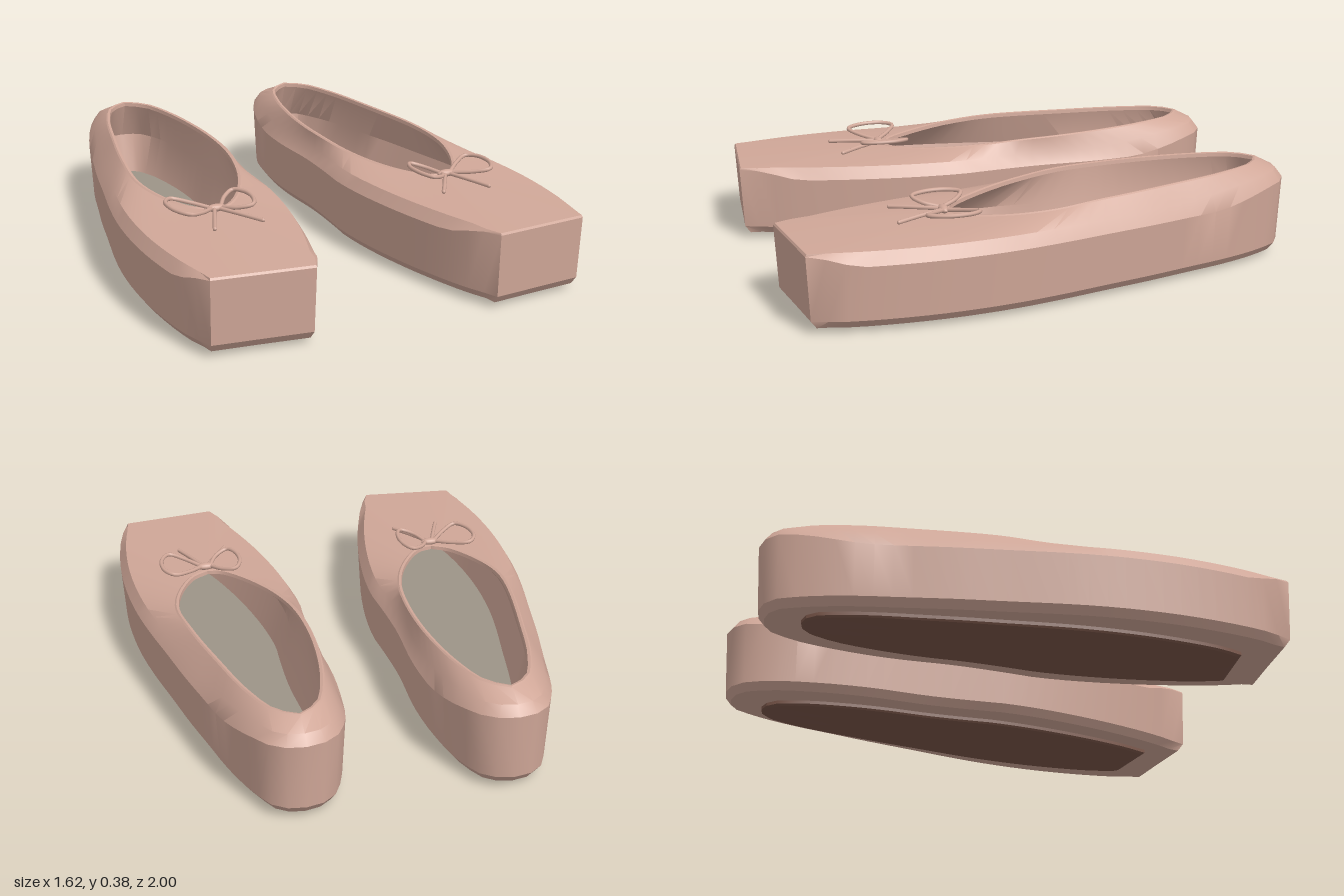
import * as THREE from 'three';
import { toCreasedNormals } from 'three/addons/utils/BufferGeometryUtils.js';

const M = 30; // samples along each side of a shoe

const curve = (pts) => new THREE.CatmullRomCurve3(pts.map(([x, z]) => new THREE.Vector3(x, 0, z)));
const smooth = (z, a, b) => THREE.MathUtils.smoothstep(z, a, b);

// Footprint halves, heel to toe corner
const innerSide = curve([[.38, -1], [.28, -.97], [.21, -.85], [.17, -.66], [.155, -.45], [.165, -.2], [.158, 0],
  [.15, .12], [.163, .3], [.2, .52], [.25, .72], [.3, .87], [.36, .995]]);
const outerSide = curve([[.38, -1], [.48, -.975], [.555, -.85], [.61, -.69], [.65, -.52], [.69, -.35], [.73, -.15],
  [.765, .02], [.79, .17], [.805, .32], [.81, .5], [.797, .7], [.772, .85], [.73, .955]]);
// Foot opening halves, heel to throat
const innerRim = curve([[.38, -.91], [.3, -.85], [.245, -.7], [.205, -.45], [.2, -.2], [.225, 0], [.28, .17],
  [.36, .31], [.42, .37], [.48, .385]]);
const outerRim = curve([[.38, -.91], [.46, -.86], [.53, -.7], [.59, -.45], [.64, -.2], [.663, 0], [.652, .11],
  [.61, .24], [.55, .34], [.48, .385]]);

// Closed loop: heel, inner side, front, outer side
function closedLoop(a, b, front, ease) {
  const side = (c) => Array.from({ length: M + 1 }, (_, k) => c.getPointAt(ease(k)));
  return [...side(a), front, ...side(b).slice(1).reverse()];
}
const footprint = closedLoop(innerSide, outerSide, new THREE.Vector3(.545, 0, .975), (k) => k / M);
const opening = closedLoop(innerRim, outerRim, new THREE.Vector3(.48, 0, .385),
  (k) => 1 - Math.pow(1 - k / (M + 1), 1.4));

// Move a loop inward by a distance and set its height (both may depend on the point)
function ring(loop, inset, height) {
  const n = loop.length;
  const val = (f, p) => (typeof f === 'function' ? f(p.z) : f);
  return loop.map((p, i) => {
    const t = loop[(i + 1) % n].clone().sub(loop[(i + n - 1) % n]).normalize();
    const d = val(inset, p);
    return new THREE.Vector3(p.x + t.z * d, val(height, p), p.z - t.x * d);
  });
}
const point = (y) => footprint.map(() => new THREE.Vector3(.46, y, 0));
const scaled = (k, y) => footprint.map((p) =>
  new THREE.Vector3(.47 + (p.x - .47) * .62 * k, y, -.035 + (p.z + .035) * .83 * k));

// Skin a stack of rings; s = -1 gives the mirrored shoe
function loft(rings, s) {
  const n = rings[0].length, pos = [], idx = [];
  rings.flat().forEach((p) => pos.push(p.x * s, p.y, p.z));
  const tri = (a, b, c) => (s > 0 ? idx.push(a, b, c) : idx.push(a, c, b));
  for (let r = 0; r < rings.length - 1; r++) {
    for (let i = 0; i < n; i++) {
      const j = (i + 1) % n, a = r * n + i, b = r * n + j;
      if (rings[r][i].distanceTo(rings[r][j]) > 1e-6) tri(a, b, b + n);
      if (rings[r + 1][i].distanceTo(rings[r + 1][j]) > 1e-6) tri(a, b + n, a + n);
    }
  }
  const g = new THREE.BufferGeometry();
  g.setAttribute('position', new THREE.Float32BufferAttribute(pos, 3));
  g.setIndex(idx);
  return toCreasedNormals(g, 0.5);
}

// Heights along the shoe
const shoulder = (z) => .25 + .055 * (1 - smooth(z, -1, -.6)) + .038 * smooth(z, .75, .95);
const topEdge = (z) => .296 + .046 * (1 - smooth(z, -1, -.4));
const topInset = (z) => .028 - .023 * smooth(z, .85, .96);
const rimHeight = (z) => .314 + .034 * (1 - smooth(z, -.2, .4)) + .026 * THREE.MathUtils.clamp(-z / .9, 0, 1);

function createShoe(s, mats) {
  const shoe = new THREE.Group();
  const add = (name, geo, mat, parent = shoe) => {
    const m = new THREE.Mesh(geo, mat);
    m.name = name;
    parent.add(m);
    return m;
  };

  // Outside wall, vamp and lining in one skin
  add('upper', loft([
    point(.02),
    ring(footprint, .035, .02),
    ring(footprint, .012, .05),
    ring(footprint, 0, shoulder),
    ring(footprint, topInset, topEdge),
    ring(opening, 0, rimHeight),
  ], s), mats.satin);
  add('collar', loft([
    ring(opening, 0, rimHeight),
    ring(opening, .006, (z) => rimHeight(z) + .004),
    ring(opening, .016, (z) => rimHeight(z) + .002),
    ring(opening, .018, (z) => rimHeight(z) - .012),
  ], s), mats.satin);
  add('lining', loft([
    ring(opening, .018, (z) => rimHeight(z) - .012),
    ring(footprint, .06, .22),
    ring(footprint, .1, .06),
  ], s), mats.satin);
  add('insole', loft([ring(footprint, .098, .06), point(.06)], s), mats.insole);
  add('outsole', loft([point(0), scaled(.975, 0), scaled(1, .007), scaled(1, .022)], s), mats.sole);

  // Bow on the throat
  const bow = new THREE.Group();
  bow.name = 'bow';
  shoe.add(bow);
  const cord = (name, pts, segs) => add(name, new THREE.TubeGeometry(
    new THREE.CatmullRomCurve3(pts.map(([x, y, z]) => new THREE.Vector3(x * s, y, z))), segs, .008, 8), mats.satin, bow);
  cord('outerLoop', [[.5, .326, .392], [.56, .338, .335], [.62, .35, .3], [.655, .354, .34], [.655, .354, .43],
    [.615, .35, .49], [.56, .338, .46], [.5, .326, .402]], 40);
  cord('innerLoop', [[.46, .326, .392], [.42, .338, .33], [.375, .35, .3], [.346, .354, .35], [.348, .354, .435],
    [.375, .35, .485], [.425, .338, .46], [.46, .326, .402]], 40);
  cord('innerTail', [[.47, .324, .405], [.42, .322, .49], [.37, .318, .57]], 10);
  cord('outerTail', [[.49, .324, .405], [.525, .322, .495], [.56, .318, .582]], 10);
  // End caps of the tails
  for (const [x, z] of [[.37, .57], [.56, .582]]) {
    add('tailTip', new THREE.SphereGeometry(.008, 8, 6), mats.satin, bow).position.set(x * s, .318, z);
  }
  const knot = add('knot', new THREE.SphereGeometry(1, 16, 10), mats.satin, bow);
  knot.scale.set(.038, .014, .018);
  knot.position.set(.48 * s, .325, .396);
  return shoe;
}

export function createModel() {
  const mat = (name, color) => {
    const m = new THREE.MeshStandardMaterial({ color });
    m.name = name;
    return m;
  };
  const mats = {
    satin: mat('pink satin', 0xd0a798),
    insole: mat('grey insole', 0x9c9487),
    sole: mat('brown leather', 0x7a5649),
  };
  const model = new THREE.Group();
  model.name = 'balletShoes';
  for (const s of [1, -1]) {
    const shoe = createShoe(s, mats);
    shoe.name = s > 0 ? 'leftShoe' : 'rightShoe';
    model.add(shoe);
  }
  return model;
}
